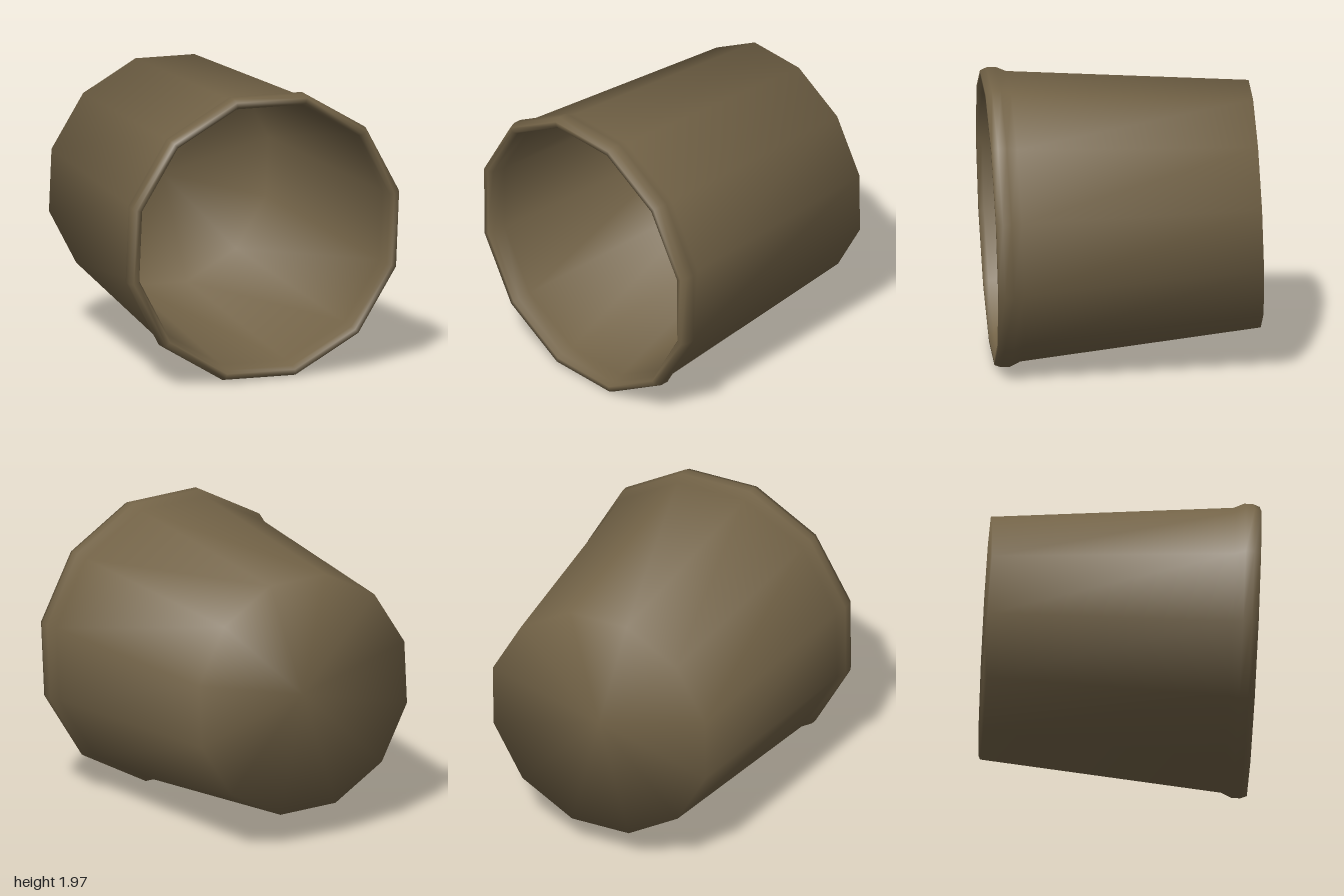
import * as THREE from 'three';

// A twelve-sided tapered cup lying on its side, open end to the front.
export function createModel() {
  const group = new THREE.Group();
  group.name = 'cup';
  const brown = new THREE.MeshStandardMaterial({ color: 0x736347 });
  brown.name = 'brown';

  // Axis runs from the base at the back to the rim at the front
  const base = new THREE.Vector3(0.18, 1.05, -0.91);
  const axisY = new THREE.Vector3(-0.106, -0.034, 1).normalize();
  const turn = THREE.MathUtils.degToRad(13.5);
  const axisZ = new THREE.Vector3(Math.cos(turn), Math.sin(turn), 0);
  axisZ.addScaledVector(axisY, -axisZ.dot(axisY)).normalize();
  const axisX = new THREE.Vector3().crossVectors(axisY, axisZ);
  const placement = new THREE.Matrix4().makeBasis(axisX, axisY, axisZ).setPosition(base);

  // Profile: base, outer wall, rolled lip, inner wall, inner floor
  const profile = [
    [0, 0], [0.835, 0],
    [0.98, 1.63], [1.012, 1.7], [1.012, 1.76], [0.995, 1.805],
    [0.96, 1.805], [0.94, 1.77], [0.925, 1.68],
    [0.79, 0.05], [0, 0.05],
  ].map(([r, y]) => new THREE.Vector2(r, y));

  const shell = new THREE.Mesh(new THREE.LatheGeometry(profile, 12), brown);
  shell.name = 'cupShell';
  shell.geometry.applyMatrix4(placement);
  group.add(shell);
  return group;
}
